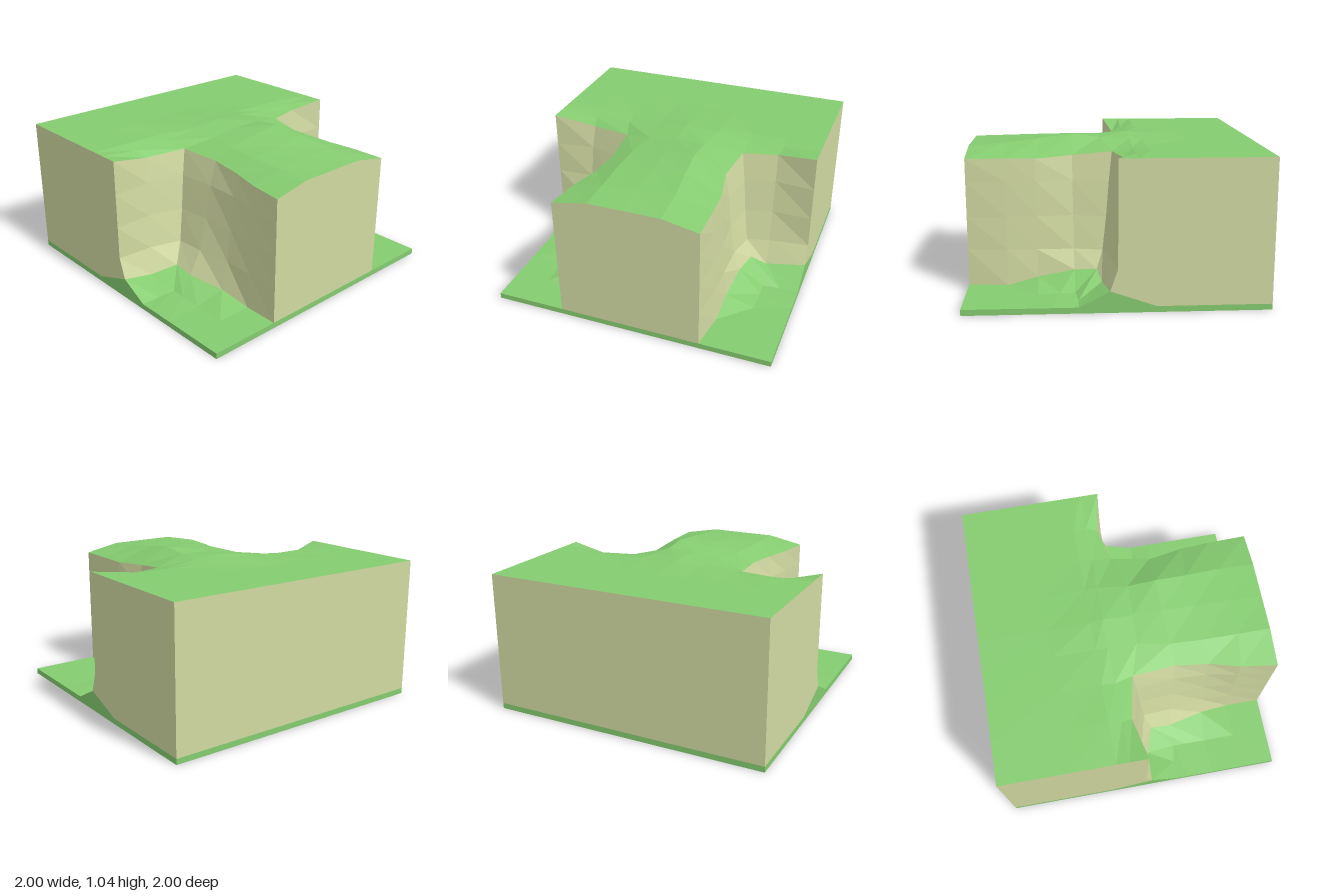
import * as THREE from 'three';

const grass = new THREE.MeshStandardMaterial({ color: 0x85cc70, flatShading: true, side: THREE.DoubleSide });
const rock = new THREE.MeshStandardMaterial({ color: 0xd2daa2, flatShading: true, side: THREE.DoubleSide });

// Faceted surface through rows of [x, y, z] points
function loft(rows) {
  const pos = [];
  for (let i = 0; i < rows.length - 1; i++) {
    for (let j = 0; j < rows[i].length - 1; j++) {
      const a = rows[i][j], b = rows[i][j + 1], c = rows[i + 1][j + 1], d = rows[i + 1][j];
      pos.push(...a, ...d, ...c, ...a, ...c, ...b);
    }
  }
  const g = new THREE.BufferGeometry();
  g.setAttribute('position', new THREE.Float32BufferAttribute(pos, 3));
  g.computeVertexNormals();
  return g;
}

const flat = (points) => new THREE.ShapeGeometry(new THREE.Shape(points.map(([x, y]) => new THREE.Vector2(x, y))));

// Cliff edges, from the outer side of the tile to the inner corner and on to the front
const leftTop = [[-1, 1, 0], [-0.7, 0.93, -0.06], [-0.41, 0.94, 0], [-0.385, 0.93, 0.3],
  [-0.41, 0.92, 0.53], [-0.47, 0.92, 0.75], [-0.505, 0.92, 1]];
const leftBase = [[-1, 0.145, 0.05], [-0.78, 0.105, 0.06], [-0.6, 0.14, 0.12], [-0.6, 0.12, 0.27],
  [-0.535, 0.09, 0.53], [-0.505, 0.04, 0.75], [-0.505, 0.04, 1]];
const rightTop = [[1, 1, 0], [0.72, 0.96, -0.05], [0.48, 0.96, 0.01], [0.44, 0.93, 0.28],
  [0.49, 0.915, 0.53], [0.5, 0.92, 0.73], [0.505, 0.92, 1]];
const rightBase = [[1, 0.145, 0.05], [0.72, 0.115, 0.09], [0.61, 0.17, 0.12], [0.57, 0.155, 0.27],
  [0.545, 0.1, 0.52], [0.54, 0.04, 0.73], [0.505, 0.04, 1]];

// Rows of cliff points: the foot flares out, the upper wall is nearly upright
function cliffRows(top, base) {
  const levels = [[0.76, 0.2], [0.52, 0.38], [0.29, 0.62]];
  const middle = levels.map(([y, out]) => top.map((t, j) => {
    const k = j === 0 ? 0 : out;
    return [t[0] + (base[j][0] - t[0]) * k, y, t[2] + (base[j][2] - t[2]) * k];
  }));
  return [top, ...middle, base];
}

// Rows of lower ground: cliff foot, end of the slope, tile border
function groundRows(base, s) {
  const slopeEnd = [[1, 0.04, 0.25], [0.87, 0.04, 0.25], [0.75, 0.05, 0.27], [0.75, 0.05, 0.37],
    [0.75, 0.04, 0.52], [0.75, 0.04, 0.75], [0.75, 0.04, 1]].map(([x, y, z]) => [s * x, y, z]);
  const border = [0.25, 0.29, 0.34, 0.42, 0.53, 0.75, 1].map((z) => [s, 0.04, z]);
  return [base, slopeEnd, border];
}

export function createModel() {
  const model = new THREE.Group();
  const add = (name, geometry, material) => {
    const mesh = new THREE.Mesh(geometry, material);
    mesh.name = name;
    model.add(mesh);
    return mesh;
  };

  // Thin grass slab without its top, which the ground covers
  const slab = new THREE.BoxGeometry(2, 0.04, 2).translate(0, 0.02, 0);
  const index = Array.from(slab.index.array);
  index.splice(12, 6);
  slab.setIndex(index);
  slab.clearGroups();
  add('baseSlab', slab, grass);

  // Cliffs and lower ground on both sides
  for (const [name, s, top, base] of [['left', 1, rightTop, rightBase], ['right', -1, leftTop, leftBase]]) {
    const order = (rows) => (s > 0 ? rows.map((r) => [...r].reverse()) : rows);
    add(name + 'Cliff', loft(order(cliffRows(top, base))), rock);
    add(name + 'Ground', loft(order(groundRows(base, s))), grass);

    // Cut faces at the tile border
    const cut = (points) => flat(points.map(([z, y]) => [-s * z, y])).rotateY(s * Math.PI / 2).translate(s, 0, 0);
    add(name + 'Side', cut([[-1, 0.04], [-0.25, 0.04], [0.05, 0.145], [0, 0.29], [0, 1], [-1, 1]]), rock);
    add(name + 'SlopeSide', cut([[-0.25, 0.04], [0.25, 0.04], [0.05, 0.145]]), grass);
  }

  // Front and back cut faces
  add('frontFace', flat([[-0.505, 0.04], [0.505, 0.04], [0.505, 0.92], [0.25, 0.97], [-0.25, 0.97], [-0.505, 0.92]])
    .translate(0, 0, 1), rock);
  add('backFace', new THREE.PlaneGeometry(2, 0.96).rotateY(Math.PI).translate(0, 0.52, -1), rock);

  // Plateau, back half
  const columns = [-1, -0.72, -0.45, -0.2, 0, 0.25, 0.48, 0.74, 1];
  const row = (z, heights) => columns.map((x, i) => [x, heights[i], z]);
  const rim = [leftTop[0], leftTop[1], leftTop[2], [-0.2, 0.99, 0.07], [0, 1.015, 0.08],
    [0.22, 1.02, 0.08], rightTop[2], rightTop[1], rightTop[0]];
  add('plateauBack', loft([
    row(-1, Array(9).fill(1)),
    row(-0.52, Array(9).fill(1)),
    row(-0.22, [1, 1, 0.995, 1.005, 1.02, 1.01, 1, 1, 1]),
    row(-0.13, [1, 0.97, 0.975, 1.005, 1.03, 1.015, 0.985, 0.985, 1]),
    rim,
  ]), grass);

  // Plateau, tongue reaching to the front
  const inner = [
    [[-0.24, 0.985, 0.29], [0, 1.02, 0.28], [0.22, 1.045, 0.28]],
    [[-0.25, 0.98, 0.53], [0, 1, 0.52], [0.23, 1.02, 0.5]],
    [[-0.25, 0.975, 0.77], [0, 0.985, 0.76], [0.25, 0.99, 0.75]],
    [[-0.25, 0.97, 1], [0, 0.97, 1], [0.25, 0.97, 1]],
  ];
  add('plateauFront', loft([
    rim.slice(2, 7),
    ...inner.map((points, i) => [leftTop[i + 3], ...points, rightTop[i + 3]]),
  ]), grass);

  return model;
}
